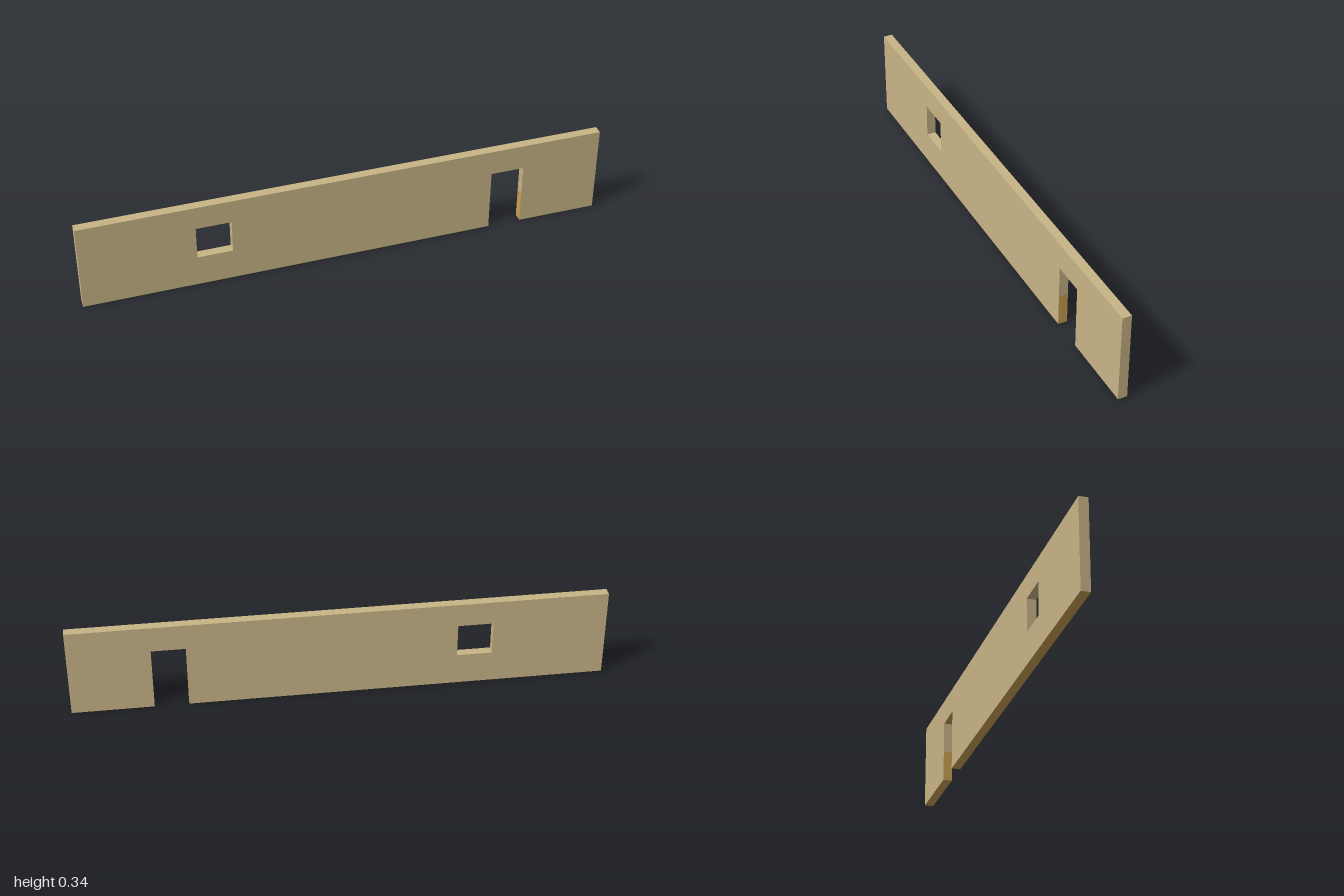
import * as THREE from 'three';

const HEIGHT = 0.345, DEPTH = 0.035;
const door = { left: 0.567, right: 0.695, top: 0.245, split: 0.123 };
const win = { left: -0.57, right: -0.437, bottom: 0.123, top: 0.253 };

const toPoints = (list) => list.map(([x, y]) => new THREE.Vector2(x, y));

export function createModel() {
  const plaster = new THREE.MeshStandardMaterial({ color: 0xc8b486 });
  plaster.name = 'tan plaster';
  const timber = new THREE.MeshStandardMaterial({ color: 0xc8a052 });
  timber.name = 'ochre underside';

  // Wall outline with the doorway notch; extra points halfway up the jambs
  const outline = new THREE.Shape(toPoints([
    [-1, 0], [door.left, 0], [door.left, door.split], [door.left, door.top],
    [door.right, door.top], [door.right, door.split], [door.right, 0],
    [1, 0], [1, HEIGHT], [-1, HEIGHT],
  ]));

  // Window opening
  outline.holes.push(new THREE.Path(toPoints([
    [win.left, win.bottom], [win.left, win.top], [win.right, win.top], [win.right, win.bottom],
  ])));

  const geometry = new THREE.ExtrudeGeometry(outline, { depth: DEPTH, bevelEnabled: false });
  geometry.translate(0, 0, -DEPTH / 2);

  // Ochre on the underside, the door head and the lower half of the jambs
  const pos = geometry.attributes.position, normal = geometry.attributes.normal;
  geometry.clearGroups();
  for (let i = 0; i < pos.count; i += 3) {
    const x = (pos.getX(i) + pos.getX(i + 1) + pos.getX(i + 2)) / 3;
    const y = (pos.getY(i) + pos.getY(i + 1) + pos.getY(i + 2)) / 3;
    const underside = normal.getY(i) < -0.9 && (y < 0.01 || x > 0);
    const lowerJamb = Math.abs(normal.getX(i)) > 0.9 && Math.abs(x) < 0.9 && y < door.split;
    geometry.addGroup(i, 3, underside || lowerJamb ? 1 : 0);
  }

  const wall = new THREE.Mesh(geometry, [plaster, timber]);
  wall.name = 'wall';
  const group = new THREE.Group();
  group.name = 'wallWithDoorwayAndWindow';
  group.add(wall);
  return group;
}
